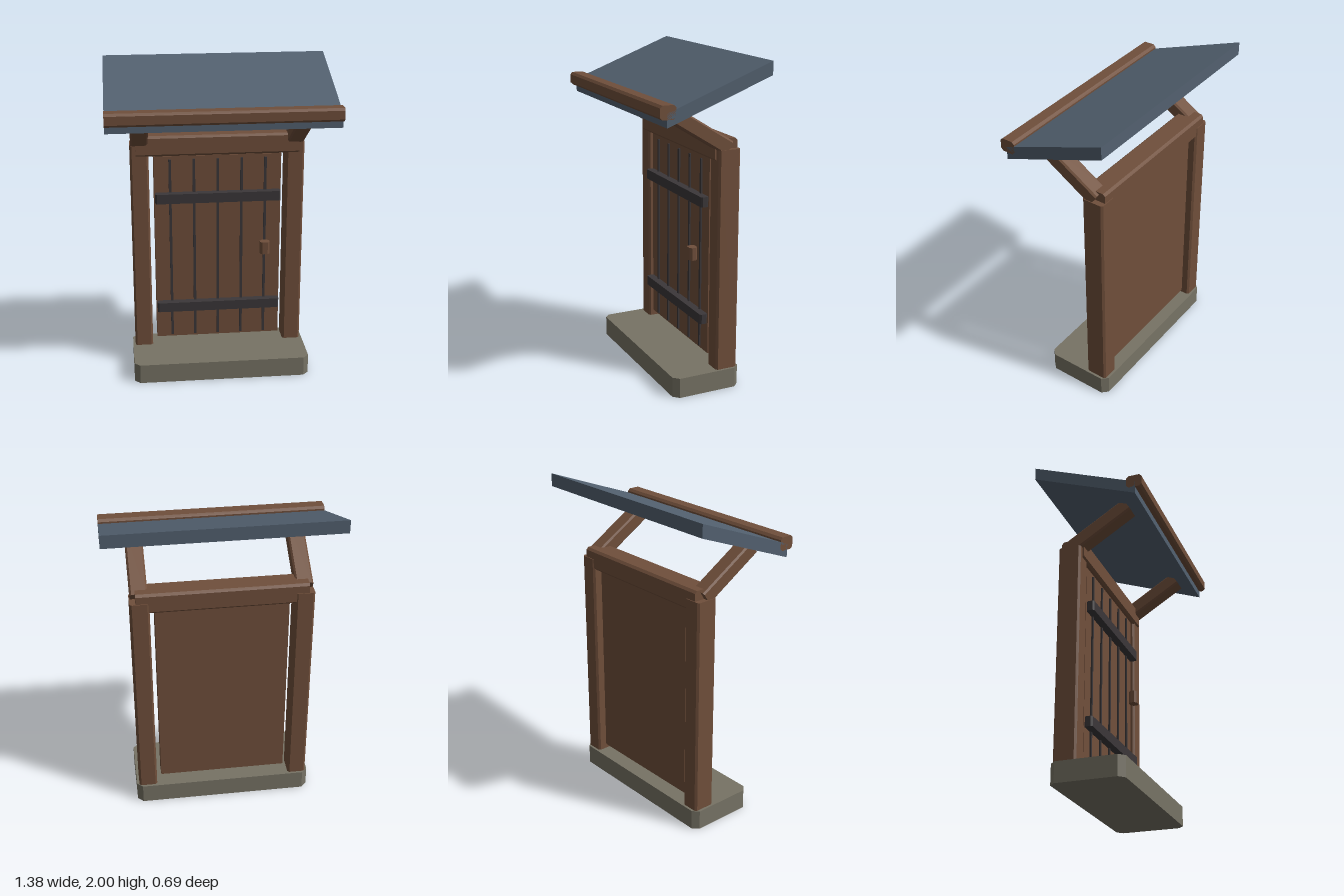
import * as THREE from 'three';

const material = (name, color) => {
  const m = new THREE.MeshStandardMaterial({ color });
  m.name = name;
  return m;
};

// Rectangle w by h with cut corners, extruded to a length and centred
function chamferedBar(w, h, length, c) {
  const x = w / 2, y = h / 2;
  const shape = new THREE.Shape([
    [-x + c, -y], [x - c, -y], [x, -y + c], [x, y - c],
    [x - c, y], [-x + c, y], [-x, y - c], [-x, -y + c],
  ].map(([a, b]) => new THREE.Vector2(a, b)));
  return new THREE.ExtrudeGeometry(shape, { depth: length, bevelEnabled: false })
    .translate(0, 0, -length / 2);
}

export function createModel() {
  const wood = material('brown wood', 0x704f3b);
  const slate = material('blue grey roof', 0x536170);
  const stone = material('grey stone', 0x777365);
  const iron = material('dark iron', 0x3b3739);

  const model = new THREE.Group();
  model.name = 'doorway';
  const add = (name, geometry, mat, x = 0, y = 0, z = 0) => {
    const mesh = new THREE.Mesh(geometry, mat);
    mesh.name = name;
    mesh.position.set(x, y, z);
    model.add(mesh);
    return mesh;
  };
  // Bars with their cut edges running upright or sideways
  const upright = (w, height, d, c) => chamferedBar(w, d, height, c).rotateX(-Math.PI / 2);
  const sideways = (length, h, d, c) => chamferedBar(d, h, length, c).rotateY(Math.PI / 2);

  // Stone step
  add('threshold', upright(1.12, 0.125, 0.44, 0.035), stone, 0, 0.0625, -0.03);

  // Frame: posts, lintel and the braces reaching forward to the roof
  const front = new THREE.Vector2(0.196, 1.718), back = new THREE.Vector2(-0.166, 1.492);
  const run = front.clone().sub(back), mid = front.clone().add(back).multiplyScalar(0.5);
  for (const [side, s] of [['left', 1], ['right', -1]]) {
    add(side + 'Post', upright(0.115, 1.385, 0.14, 0.012), wood, s * 0.4875, 0.7925, -0.165);
    const brace = add(side + 'Brace', chamferedBar(0.105, 0.09, run.length(), 0.01), wood,
      s * 0.4875, mid.y, mid.x);
    brace.rotation.x = -Math.atan2(run.y, run.x);
  }
  add('lintel', sideways(1.02, 0.13, 0.145, 0.014), wood, 0, 1.48, -0.1575);

  // Door leaf with dark joints, straps and handle
  add('doorPanel', new THREE.BoxGeometry(0.8, 1.235, 0.09), wood, 0, 0.7925, -0.155);
  for (let i = -2; i <= 2; i++) {
    add('plankJoint', new THREE.BoxGeometry(0.016, 1.2, 0.016), iron, i * 0.15, 0.79, -0.108);
  }
  for (const y of [0.403, 1.145]) {
    add('strap', upright(0.79, 0.062, 0.05, 0.01), iron, 0, y, -0.086);
  }
  add('handle', upright(0.062, 0.08, 0.052, 0.014), wood, 0.295, 0.805, -0.051);

  // Sloping roof slab with plumb-cut front and back ends
  const profile = new THREE.Shape([
    [-0.304, 1.675], [0.345, 1.92], [0.345, 2], [-0.304, 1.755],
  ].map(([a, b]) => new THREE.Vector2(a, b)));
  add('roof', new THREE.ExtrudeGeometry(profile, { depth: 1.38, bevelEnabled: false })
    .translate(0, 0, -0.69).rotateY(Math.PI / 2), slate);
  add('eavesBeam', sideways(1.38, 0.08, 0.095, 0.014), wood, 0, 1.76, 0.2975);

  return model;
}
